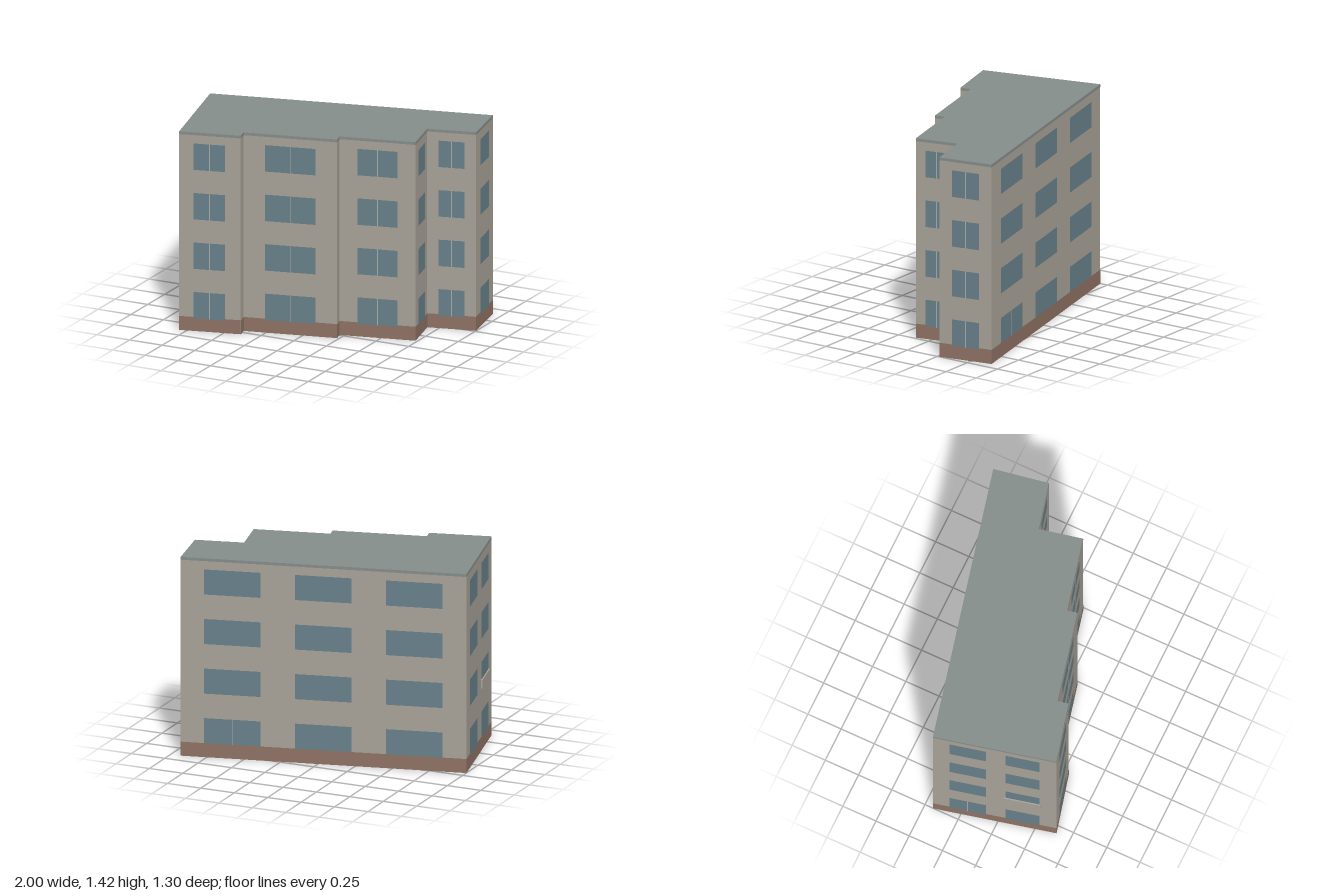
import * as THREE from 'three';

const HEIGHT = 1.42, BASE = 0.1, FLOOR = 0.354;
const mat = (color, side = THREE.FrontSide) => new THREE.MeshStandardMaterial({ color, side });
const wallMat = mat(0xa8a298, THREE.DoubleSide);
const roofMat = mat(0x858d8a, THREE.DoubleSide);
const brickMat = mat(0x8f7264);
const glassMat = mat(0x68808a);
const trimMat = mat(0xaaaca8);
const edgeMat = mat(0x858d8a);

// Footprint corners (x, z), starting at the back left and going along the back.
const footprint = [
  [-1, -0.19], [0.927, -0.65], [0.997, -0.265], [0.667, -0.183], [0.733, 0.118],
  [0.215, 0.243], [0.233, 0.313], [-0.403, 0.465], [-0.387, 0.54], [-0.803, 0.646],
];

// Windows per wall, keyed by its first corner: start and end as fractions of the wall.
const windows = {
  0: { bottom: 0.1, spans: [[0.083, 0.281], [0.401, 0.6], [0.72, 0.918]], split: (i, f) => i === 2 && f === 0 },
  1: { bottom: 0.09, spans: [[0.235, 0.755]], split: () => true },
  2: { bottom: 0.09, spans: [[0.235, 0.765]], split: () => true },
  3: { bottom: 0.09, spans: [[0.235, 0.765]], split: () => true },
  4: { bottom: 0.09, spans: [[0.235, 0.76]], split: () => true },
  6: { bottom: 0.09, spans: [[0.228, 0.77]], split: () => true },
  8: { bottom: 0.09, spans: [[0.25, 0.765]], split: () => true },
  9: { bottom: 0.09, spans: [[0.135, 0.43], [0.59, 0.865]].map(([a, b]) => [1 - b, 1 - a]), split: (i, f) => i === 0 && f === 0 },
};

// Local frame for a wall: x runs along it from its second corner, z points outwards.
function wallFrame(i) {
  const [px, pz] = footprint[i];
  const [qx, qz] = footprint[(i + 1) % footprint.length];
  const frame = new THREE.Group();
  frame.position.set(qx, 0, qz);
  frame.rotation.y = Math.atan2(qz - pz, px - qx);
  return { frame, length: Math.hypot(qx - px, qz - pz) };
}

// Flat rectangle on a wall, from x0 to x1 and y0 to y1, lifted off by z.
function panel(parent, name, material, x0, x1, y0, y1, z) {
  const mesh = new THREE.Mesh(new THREE.PlaneGeometry(x1 - x0, y1 - y0), material);
  mesh.position.set((x0 + x1) / 2, (y0 + y1) / 2, z);
  mesh.name = name;
  parent.add(mesh);
}

export function createModel() {
  const model = new THREE.Group();
  model.name = 'apartmentBlock';

  // Flat roof; the underside of the block stays open
  const shape = new THREE.Shape(footprint.map(([x, z]) => new THREE.Vector2(x, -z)));
  const roof = new THREE.Mesh(new THREE.ShapeGeometry(shape).rotateX(-Math.PI / 2), roofMat);
  roof.position.y = HEIGHT;
  roof.name = 'roof';
  model.add(roof);

  footprint.forEach((_, i) => {
    const { frame, length } = wallFrame(i);
    frame.name = 'wallSection';
    model.add(frame);
    panel(frame, 'wall', wallMat, 0, length, 0, HEIGHT, 0);
    // The recessed short returns carry no brickwork beyond the plinth
    panel(frame, 'brickPlinth', brickMat, 0, length, 0, BASE, 0.0015);
    panel(frame, 'roofEdge', edgeMat, 0, length, HEIGHT - 0.02, HEIGHT, 0.0015);

    const set = windows[i];
    if (!set) return;
    set.spans.forEach(([a, b], w) => {
      // Fractions run from the first corner, local x from the second
      const x0 = (1 - b) * length, x1 = (1 - a) * length, mid = (x0 + x1) / 2;
      for (let f = 0; f < 4; f++) {
        const y0 = set.bottom + f * FLOOR, y1 = 0.279 + f * FLOOR;
        panel(frame, 'window', glassMat, x0, x1, y0, y1, 0.003);
        if (set.split(w, f)) panel(frame, 'mullion', trimMat, mid - 0.003, mid + 0.003, y0, y1, 0.0045);
      }
    });

    // Shallow railing box under one window of the left wall
    if (i === 9) {
      const box = new THREE.Mesh(new THREE.BoxGeometry(0.255, 0.062, 0.012), wallMat);
      box.position.set(length * 0.725, 0.478, 0.006);
      box.name = 'windowRailing';
      frame.add(box);
    }
  });
  return model;
}
